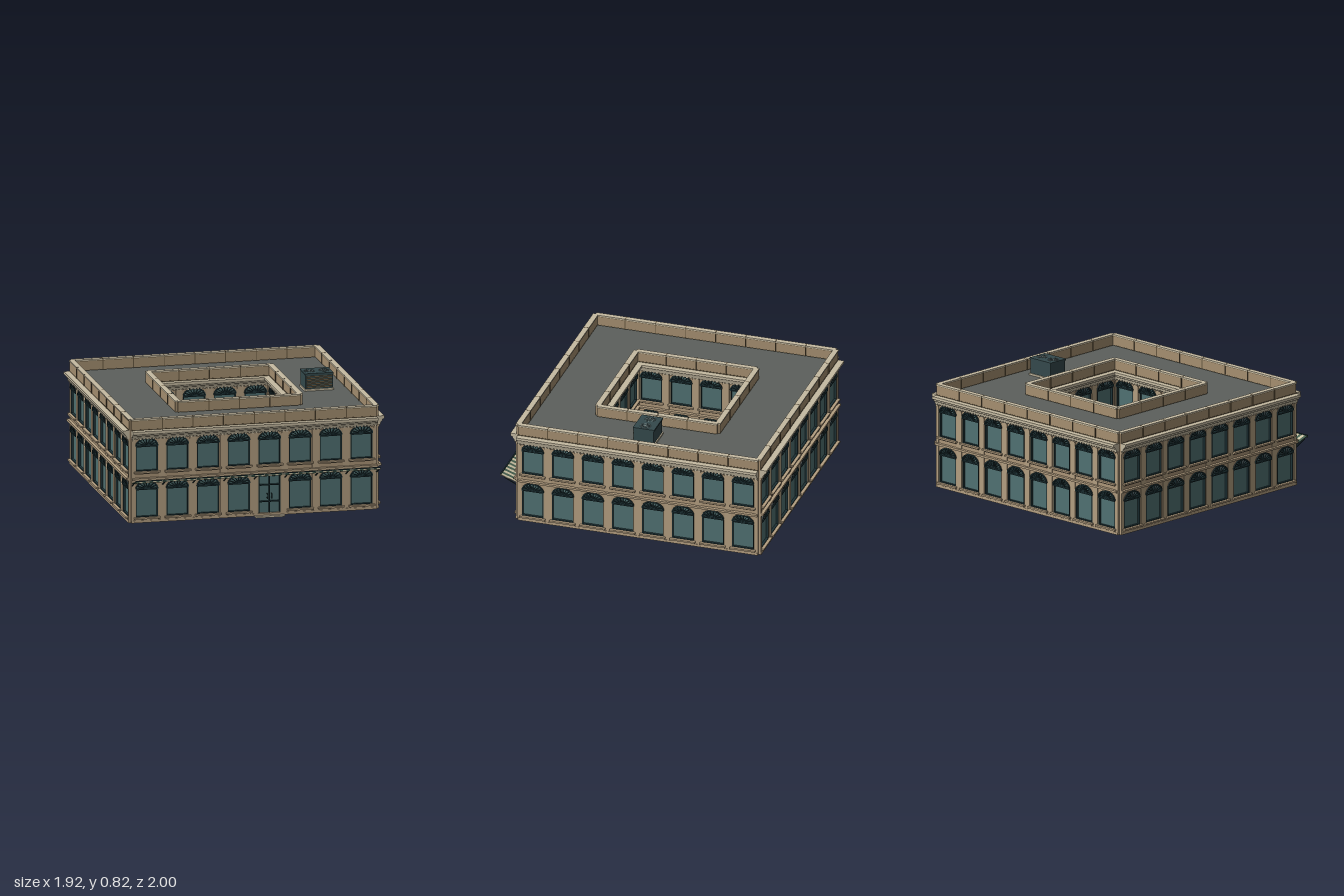
import * as THREE from 'three';
import { mergeGeometries } from 'three/addons/utils/BufferGeometryUtils.js';

const BAY = 0.2256, HW = 0.081, RISE = 0.058, CZ = -0.04;
const mat = (color, side = THREE.FrontSide) => new THREE.MeshStandardMaterial({ color, side });
const M = {
  wall: mat(0xac9678), trim: mat(0xb39e80), stone: mat(0xc6bba2), parapet: mat(0xa58f70),
  seam: mat(0x66573f), glass: mat(0x507172, THREE.DoubleSide), frame: mat(0x1d3236),
  roof: mat(0x5c605c), green: mat(0x46604f), cream: mat(0xcdc4a6), unit: mat(0x34494c), blade: mat(0x7f9190),
};

// Box given by its limits
function box(x0, x1, y0, y1, z0, z1) {
  return new THREE.BoxGeometry(x1 - x0, y1 - y0, z1 - z0)
    .translate((x0 + x1) / 2, (y0 + y1) / 2, (z0 + z1) / 2);
}
function extrude(shape, z0, z1) {
  return new THREE.ExtrudeGeometry(shape, { depth: z1 - z0, bevelEnabled: false, curveSegments: 12 }).translate(0, 0, z0);
}
function addPart(group, name, material, geos) {
  if (!geos.length) return;
  const mesh = new THREE.Mesh(mergeGeometries(geos.map(g => (g.index ? g.toNonIndexed() : g))), material);
  mesh.name = name;
  group.add(mesh);
}

// Opening with an elliptical head
function archPath(Type, x, y0, spring) {
  const p = new Type();
  p.moveTo(x - HW, y0);
  p.lineTo(x + HW, y0);
  p.lineTo(x + HW, spring);
  p.absellipse(x, spring, HW, RISE, 0, Math.PI, false, 0);
  p.lineTo(x - HW, y0);
  return p;
}
function rectPath(x, y0, y1) {
  return new THREE.Path([[-HW, y0], [HW, y0], [HW, y1], [-HW, y1], [-HW, y0]]
    .map(([a, b]) => new THREE.Vector2(x + a, b)));
}

// Half-elliptical band
function archBand(x, y, rx, ry, t) {
  const s = new THREE.Shape();
  s.absellipse(x, y, rx, ry, 0, Math.PI, false, 0);
  s.absellipse(x, y, rx - t, ry - t, Math.PI, 0, true, 0);
  return s;
}

// Window frame with a fanlight
function windowFrame(out, x, y0, spring) {
  const t = 0.006;
  out.push(box(x - HW, x - HW + t, y0, spring, -0.004, 0.014), box(x + HW - t, x + HW, y0, spring, -0.004, 0.014),
    box(x - HW, x + HW, y0, y0 + t, -0.004, 0.014), box(x - HW, x + HW, spring - t, spring + 0.003, -0.004, 0.02));
  out.push(extrude(archBand(x, spring, HW + 0.003, RISE + 0.003, 0.009), -0.002, 0.021));
  out.push(extrude(archBand(x, spring, 0.026, 0.021, 0.006), 0, 0.018));
  for (let i = 1; i < 8; i++) {
    const a = (i * Math.PI) / 8, ex = Math.cos(a) * HW, ey = Math.sin(a) * RISE;
    out.push(new THREE.BoxGeometry(Math.hypot(ex, ey), 0.0045, 0.016)
      .rotateZ(Math.atan2(ey, ex)).translate(x + ex / 2, spring + ey / 2, 0.009));
  }
}

// Glazed double door with a transom, handles and a step
function doorFrame(out, x) {
  const t = 0.007, y1 = 0.31;
  for (const c of [x - HW + t / 2, x, x + HW - t / 2]) out.push(box(c - t / 2, c + t / 2, 0.014, y1, -0.004, 0.016));
  for (const y of [0.014, 0.108, 0.23, y1 - t]) out.push(box(x - HW, x + HW, y, y + t, -0.004, 0.015));
  for (const s of [-1, 1]) {
    out.push(box(x + s * 0.016 - 0.002, x + s * 0.016 + 0.002, 0.135, 0.172, 0.024, 0.03));
    for (const y of [0.138, 0.168]) out.push(box(x + s * 0.016 - 0.002, x + s * 0.016 + 0.002, y - 0.002, y + 0.002, -0.004, 0.026));
  }
}

// Striped awning rising outward, on slanted stays
function awning(group, half) {
  const count = Math.round((half * 2) / 0.025), w = (half * 2) / count, tilt = -Math.atan2(0.048, 0.14);
  const stripes = [[], []], stays = [];
  for (let i = 0; i < count; i++) {
    const x = -half + (i + 0.5) * w;
    stripes[i % 2].push(
      new THREE.BoxGeometry(w, 0.004, 0.146).rotateX(tilt).translate(x, 0.32, 0.07),
      box(x - w / 2, x + w / 2, 0.331, 0.345, 0.135, 0.139));
  }
  for (let x = -half; x <= half + 0.01; x += (half * 2) / Math.round((half * 2) / BAY)) {
    stays.push(new THREE.BoxGeometry(0.006, 0.006, 0.1).rotateX(tilt - 0.12).translate(x, 0.305, 0.06));
  }
  stays.push(box(-half, half, 0.342, 0.348, 0.131, 0.14));
  addPart(group, 'awningGreenStripes', M.green, stripes[0]);
  addPart(group, 'awningCreamStripes', M.cream, stripes[1]);
  addPart(group, 'awningStays', M.frame, stays);
}

// One facade of n bays: x along the wall, z outward
function facade(name, n, doorBay, hasAwning) {
  const g = new THREE.Group(), L = (n * BAY) / 2;
  g.name = name;
  const shape = new THREE.Shape([[-L, 0.01], [L, 0.01], [L, 0.69], [-L, 0.69]].map(p => new THREE.Vector2(...p)));
  const trims = [], frames = [], panes = [], dentils = [], seams = [];
  for (let i = 0; i < n; i++) {
    const x = -L + (i + 0.5) * BAY;
    for (const [y0, spring] of [[0.05, 0.257], [0.388, 0.573]]) {
      if (i === doorBay && y0 < 0.1) {
        shape.holes.push(rectPath(x, 0.014, 0.31));
        doorFrame(frames, x);
        panes.push(new THREE.PlaneGeometry(HW * 2, 0.296).translate(x, 0.162, -0.004));
        addPart(g, 'doorStep', M.stone, [box(x - 0.107, x + 0.107, 0, 0.013, -0.02, 0.045)]);
        continue;
      }
      shape.holes.push(archPath(THREE.Path, x, y0, spring));
      panes.push(new THREE.ShapeGeometry(archPath(THREE.Shape, x, y0, spring), 12).translate(0, 0, -0.004));
      windowFrame(frames, x, y0, spring);
      // Sill with a narrower apron below
      trims.push(box(x - 0.096, x + 0.096, y0 - 0.012, y0, 0, 0.036), box(x - 0.085, x + 0.085, y0 - 0.02, y0 - 0.012, 0, 0.024));
    }
    for (let k = 0; k < 9; k++) {
      const d = x + ((k - 4) * BAY) / 9;
      dentils.push(box(d - 0.007, d + 0.007, 0.624, 0.636, 0, 0.03));
    }
  }
  // Pilasters and parapet joints on every bay line
  for (let i = 0; i <= n; i++) {
    const x = -L + i * BAY, a = Math.max(x - 0.024, -L), b = Math.min(x + 0.024, L);
    trims.push(box(a, b, 0.01, 0.63, 0, 0.017));
    for (const y of [0.32, 0.612]) trims.push(box(a, b, y, y + 0.012, 0, 0.022));
    if (i > 0 && i < n) seams.push(box(x - 0.003, x + 0.003, 0.69, 0.7735, -0.0205, 0.0205));
  }
  trims.push(box(-L, L, 0.01, 0.028, 0, 0.02));
  addPart(g, 'wall', M.wall, [extrude(shape, -0.012, 0.012)]);
  addPart(g, 'pilastersAndSills', M.trim, trims);
  addPart(g, 'beltCourse', M.trim, [box(-L, L, 0.325, 0.34, 0, 0.036)]);
  addPart(g, 'windowFrames', M.frame, frames);
  addPart(g, 'glass', M.glass, panes);
  // Stepped cornice swept along the wall
  const profile = new THREE.Shape([[-0.01, 0.632], [0.03, 0.632], [0.034, 0.648], [0.042, 0.652], [0.046, 0.664],
    [0.056, 0.668], [0.06, 0.674], [0.06, 0.69], [-0.01, 0.69]].map(p => new THREE.Vector2(...p)));
  addPart(g, 'cornice', M.stone, [extrude(profile, -L, L).rotateY(-Math.PI / 2)]);
  addPart(g, 'dentils', M.stone, dentils);
  addPart(g, 'parapet', M.parapet, [box(-L, L, 0.69, 0.764, -0.017, 0.014)]);
  addPart(g, 'coping', M.stone, [box(-L, L, 0.763, 0.773, -0.02, 0.02)]);
  addPart(g, 'parapetJoints', M.seam, [...seams, box(-L, L, 0.69, 0.695, -0.018, 0.016), box(-L, L, 0.759, 0.763, -0.018, 0.017)]);
  if (hasAwning) awning(g, n === 8 ? 0.9 : 0.39);
  return g;
}

// Rooftop ventilation unit with louvres and two fans
function roofUnit() {
  const g = new THREE.Group(), louvres = [], fans = [];
  g.name = 'roofUnit';
  addPart(g, 'unitBase', M.stone, [box(-0.108, 0.108, 0.69, 0.705, -0.083, 0.083)]);
  addPart(g, 'unitBody', M.unit, [box(-0.1, 0.1, 0.7, 0.81, -0.075, 0.075), box(-0.105, 0.105, 0.808, 0.82, -0.08, 0.08)]);
  for (let i = 0; i < 7; i++) louvres.push(box(-0.092, 0.092, 0.715 + i * 0.013, 0.721 + i * 0.013, 0.07, 0.082));
  for (const x of [-0.055, 0.055]) {
    fans.push(new THREE.TorusGeometry(0.038, 0.002, 4, 20).rotateX(Math.PI / 2).translate(x, 0.82, 0));
    for (let k = 0; k < 4; k++) {
      fans.push(new THREE.BoxGeometry(0.068, 0.003, 0.004).rotateY((k * Math.PI) / 4).translate(x, 0.8215, 0));
    }
  }
  addPart(g, 'louvres', M.seam, louvres);
  addPart(g, 'fans', M.blade, fans);
  g.position.set(0.682, 0, -0.04);
  return g;
}

export function createModel() {
  const model = new THREE.Group(), R = 4 * BAY, r = 2 * BAY;
  model.name = 'courtyardBuilding';
  const sides = ['front', 'left', 'back', 'right'];
  sides.forEach((side, k) => {
    // Street side, then the courtyard wall facing the same way
    const outer = facade(side + 'Facade', 8, k === 0 ? 4 : -1, k === 0);
    const inner = facade(side + 'FacingCourtyardWall', 4, -1, k === 0);
    for (const [wall, d] of [[outer, R], [inner, -r]]) {
      wall.rotation.y = (k * Math.PI) / 2;
      wall.position.set(Math.sin(wall.rotation.y) * d, 0, CZ + Math.cos(wall.rotation.y) * d);
      model.add(wall);
    }
  });
  // Flat roof around the courtyard
  const square = (T, h) => new T([[-h, -h], [h, -h], [h, h], [-h, h], [-h, -h]].map(p => new THREE.Vector2(...p)));
  const roof = square(THREE.Shape, R - 0.005);
  roof.holes.push(square(THREE.Path, r + 0.005));
  addPart(model, 'roof', M.roof, [extrude(roof, 0.675, 0.692).rotateX(-Math.PI / 2).translate(0, 0, CZ)]);
  model.add(roofUnit());
  return model;
}
